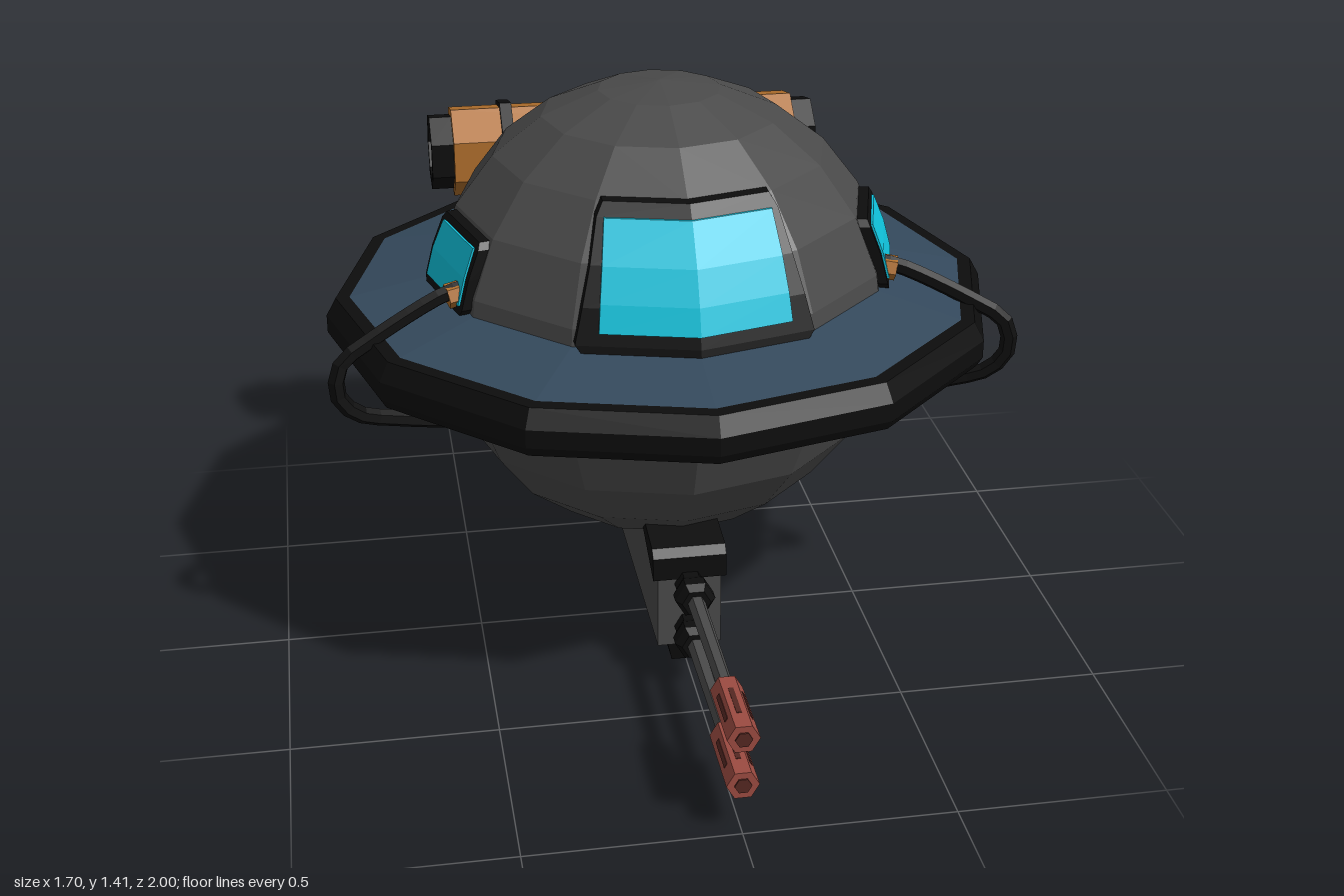
import * as THREE from 'three';

const mat = (name, color) => Object.assign(new THREE.MeshStandardMaterial({ color }), { name });
const M = {
  grey: mat('hull grey', 0x4a4a4a),
  black: mat('trim black', 0x0d0d0d),
  blue: mat('saucer blue', 0x34495c),
  cyan: mat('glass cyan', 0x10c4de),
  orange: mat('tank orange', 0xb06f2c),
  amber: mat('panel amber', 0xd0964a),
  red: mat('muzzle red', 0x9c4b41),
  darkRed: mat('slot dark red', 0x552822),
};

const R = 0.59, CY = 0.82, CZ = -0.15; // ball radius and centre

// Faceted normals for any geometry
function flat(geo) {
  const g = geo.index ? geo.toNonIndexed() : geo;
  g.computeVertexNormals();
  return g;
}

function add(parent, name, geo, material, x = 0, y = 0, z = 0) {
  const mesh = new THREE.Mesh(flat(geo), material);
  mesh.name = name;
  mesh.position.set(x, y, z);
  parent.add(mesh);
  return mesh;
}

function lathe(points, sides, start = 0, length = Math.PI * 2) {
  return new THREE.LatheGeometry(points.map(p => new THREE.Vector2(...p)), sides, start, length);
}

// Side outline given as [z, y], extruded across x
function slab(points, width) {
  const shape = new THREE.Shape(points.map(p => new THREE.Vector2(...p)));
  return new THREE.ExtrudeGeometry(shape, { depth: width, bevelEnabled: false })
    .rotateY(-Math.PI / 2).translate(width / 2, 0, 0);
}

// Plate hugging the ball: rows of [y, half width], raised by off, folded at its middle
function hullPlate(rows, off, thickness, folded) {
  const pos = [], idx = [], tan15 = Math.tan(Math.PI / 12);
  for (const [y, w] of rows) {
    const point = (x, o) => {
      const r = Math.sqrt((R + o) ** 2 - (y - CY) ** 2);
      pos.push(x, y, folded ? r - Math.abs(x) * tan15 : r * Math.cos(Math.PI / 12));
    };
    [-w, 0, w].forEach(x => point(x, off));
    [w, 0, -w].forEach(x => point(x, off - thickness));
  }
  const quad = (a, b, c, d) => idx.push(a, b, c, a, c, d);
  for (let i = 0; i < rows.length - 1; i++)
    for (let j = 0; j < 6; j++) {
      const k = (j + 1) % 6, a = i * 6, b = a + 6;
      quad(a + j, a + k, b + k, b + j);
    }
  const t = (rows.length - 1) * 6;
  quad(5, 4, 1, 0); quad(4, 3, 2, 1);
  quad(t, t + 1, t + 4, t + 5); quad(t + 1, t + 2, t + 3, t + 4);
  const g = new THREE.BufferGeometry();
  g.setAttribute('position', new THREE.Float32BufferAttribute(pos, 3));
  g.setIndex(idx);
  return g;
}

function hullWindow(parent, name, angle, folded, frame, glass) {
  const g = new THREE.Group();
  g.name = name;
  g.position.z = CZ;
  g.rotation.y = angle;
  add(g, name + 'Frame', hullPlate(frame, 0.022, 0.06, folded), M.black);
  add(g, name + 'Glass', hullPlate(glass, 0.027, 0.009, folded), M.cyan);
  parent.add(g);
}

export function createModel() {
  const root = new THREE.Group();
  root.name = 'flyingPod';

  // Ball hull and saucer
  add(root, 'ballHull', new THREE.SphereGeometry(R, 12, 12), M.grey, 0, CY, CZ);
  add(root, 'saucerUnderside', lathe([[0.56, 0.69], [0.8, 0.765]], 12), M.blue, 0, 0, CZ);
  add(root, 'saucerTop', lathe([[0.79, 0.885], [0.56, 0.935]], 12), M.blue, 0, 0, CZ);
  const rim = [[0.79, 0.765], [0.83, 0.77], [0.845, 0.795], [0.845, 0.84], [0.82, 0.885], [0.785, 0.886]];
  const step = Math.PI / 6;
  add(root, 'saucerRim', lathe(rim, 11, 9 * step, 11 * step), M.black, 0, 0, CZ);
  add(root, 'rimPatch', lathe(rim.slice(2, 5), 1, 8 * step, step), M.grey, 0, 0, CZ);
  add(root, 'rimPatchLower', lathe(rim.slice(0, 3), 1, 8 * step, step), M.black, 0, 0, CZ);
  add(root, 'rimPatchUpper', lathe(rim.slice(4), 1, 8 * step, step), M.black, 0, 0, CZ);

  // Windows
  hullWindow(root, 'frontWindow', 0, true,
    [[0.927, 0.27], [0.945, 0.283], [1.03, 0.262], [1.12, 0.238], [1.215, 0.214], [1.245, 0.196]],
    [[0.975, 0.228], [1.04, 0.222], [1.12, 0.212], [1.215, 0.198]]);
  for (const s of [1, -1])
    hullWindow(root, s > 0 ? 'leftWindow' : 'rightWindow', s * Math.PI * 75 / 180, false,
      [[0.93, 0.122], [0.945, 0.134], [1.02, 0.133], [1.09, 0.13], [1.107, 0.118]],
      [[0.952, 0.116], [1.02, 0.115], [1.09, 0.108]]);

  // Bent pipes around the rim, with orange fittings
  for (const s of [1, -1]) {
    const side = s > 0 ? 'left' : 'right';
    const path = [[0.5, 0.985, 0.07], [0.56, 0.975, 0.085], [0.76, 0.88, 0.14], [0.815, 0.845, 0.157],
      [0.832, 0.8, 0.165], [0.825, 0.75, 0.165], [0.78, 0.705, 0.155], [0.7, 0.68, 0.135], [0.5, 0.64, 0.1]]
      .map(p => new THREE.Vector3(s * p[0], p[1], p[2]));
    add(root, side + 'Pipe', new THREE.TubeGeometry(
      new THREE.CatmullRomCurve3(path, false, 'centripetal'), 20, 0.021, 6), M.black);
    const fitting = add(root, side + 'PipeFitting', new THREE.CylinderGeometry(0.031, 0.031, 0.07, 6),
      M.orange, s * 0.522, 0.972, 0.075);
    fitting.quaternion.setFromUnitVectors(new THREE.Vector3(0, 1, 0),
      new THREE.Vector3(s * 0.95, -0.15, 0.2).normalize());
  }

  // Seven-sided tank across the back
  const tank = new THREE.Group();
  tank.name = 'rearTank';
  tank.position.set(0, 1.03, -0.82);
  root.add(tank);
  const drum = (r, len) => new THREE.CylinderGeometry(r, r, len, 7).rotateY(Math.PI).rotateZ(Math.PI / 2);
  add(tank, 'tankBody', drum(0.127, 0.95), M.orange);
  for (const s of [1, -1]) {
    add(tank, 'tankStrap', drum(0.141, 0.032), M.black, s * 0.325);
    add(tank, 'tankEndRing', lathe([[0.106, 0], [0.106, 0.06], [0.082, 0.06], [0.082, 0]], 7)
      .rotateY(Math.PI).rotateZ(-s * Math.PI / 2), M.black, s * 0.475);
    add(tank, 'tankLens', drum(0.084, 0.03), M.cyan, s * 0.485);
  }

  // Gun housing under the ball
  add(root, 'gunHousing', slab([[0.305, 0.075], [0.305, 0.275], [0.15, 0.345], [-0.1, 0.4],
    [-0.362, 0.335], [-0.37, 0.1], [-0.345, 0.075]], 0.16), M.grey);
  add(root, 'gunHood', slab([[0.31, 0.265], [0.31, 0.325], [0.29, 0.345], [0.1, 0.37], [0.1, 0.345]], 0.184), M.black);
  const base = new THREE.BoxGeometry(0.11, 0.08, 0.58);
  const p = base.attributes.position;
  for (let i = 0; i < p.count; i++)
    if (p.getY(i) < 0) p.setXYZ(i, p.getX(i) * 0.66, p.getY(i), p.getZ(i) * 0.95);
  add(root, 'gunBase', base, M.black, 0, 0.04, -0.02);
  add(root, 'sidePanelFrame', new THREE.BoxGeometry(0.03, 0.092, 0.245), M.orange, 0.077, 0.151, -0.19);
  add(root, 'sidePanel', new THREE.BoxGeometry(0.008, 0.076, 0.226), M.amber, 0.091, 0.151, -0.19);

  // Twin barrels
  const rod = (r0, r1, len, sides = 6) => new THREE.CylinderGeometry(r1, r0, len, sides)
    .rotateX(Math.PI / 2).rotateZ(Math.PI / 6);
  for (const y of [0.25, 0.128]) {
    const gun = new THREE.Group();
    gun.name = y > 0.2 ? 'upperBarrel' : 'lowerBarrel';
    gun.position.y = y;
    root.add(gun);
    add(gun, 'socketNeck', rod(0.038, 0.038, 0.06), M.black, 0, 0, 0.325);
    add(gun, 'socketBack', rod(0.038, 0.05, 0.025), M.black, 0, 0, 0.345);
    add(gun, 'socketCollar', rod(0.05, 0.05, 0.03), M.black, 0, 0, 0.3725);
    add(gun, 'socketFront', rod(0.05, 0.036, 0.02), M.black, 0, 0, 0.3975);
    add(gun, 'barrelRod', rod(0.022, 0.019, 0.4), M.grey, 0, 0, 0.6);
    add(gun, 'muzzle', rod(0.038, 0.038, 0.205), M.red, 0, 0, 0.8935);
    add(gun, 'muzzleHole', rod(0.02, 0.02, 0.008), M.darkRed, 0, 0, 0.996);
    for (let k = 0; k < 6; k++)
      add(gun, 'muzzleSlot', new THREE.BoxGeometry(0.012, 0.004, 0.1)
        .translate(0, 0.0325, 0).rotateZ(k * Math.PI / 3), M.darkRed, 0, 0, 0.89);
  }
  return root;
}
